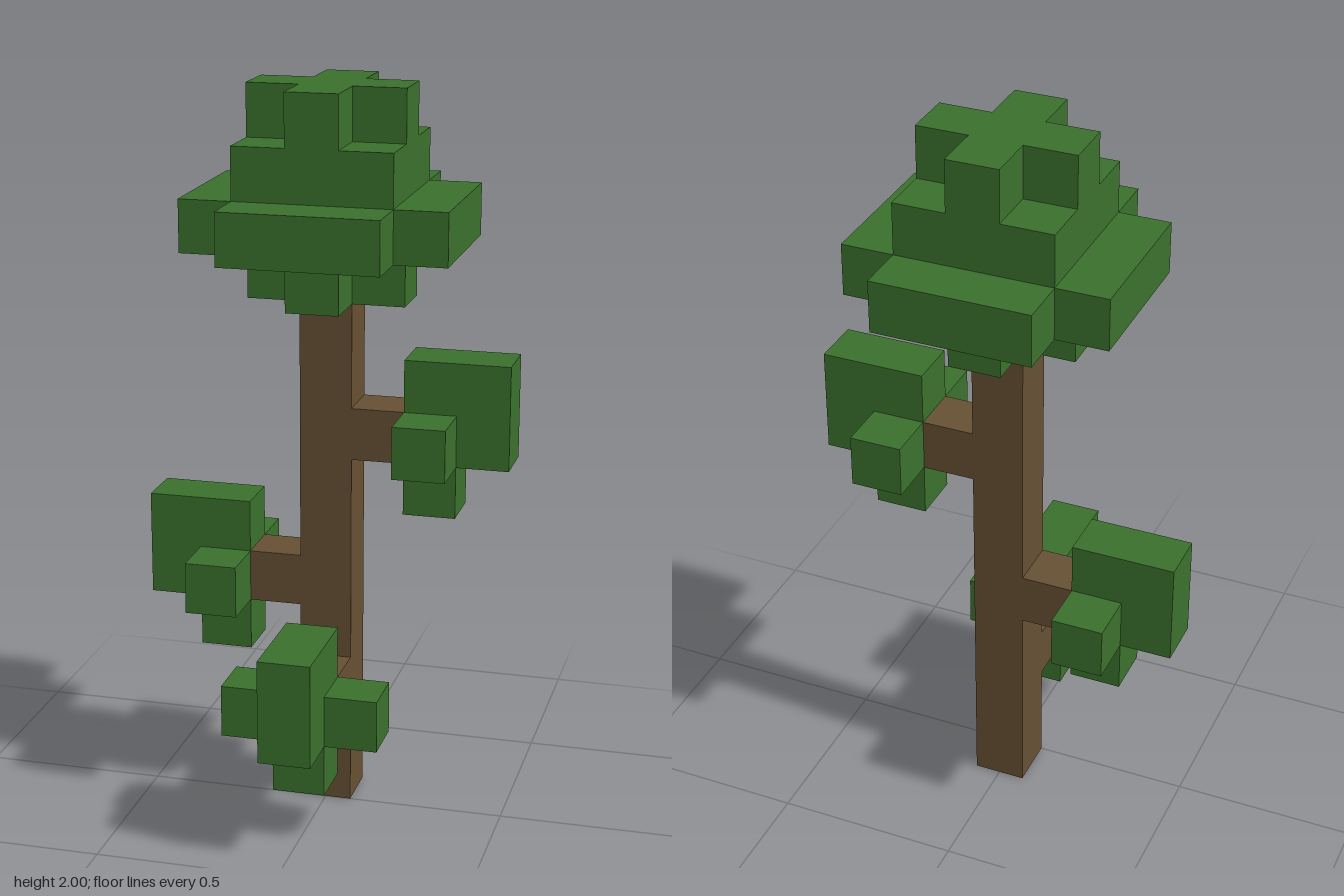
import * as THREE from 'three';

const U = 1 / 7; // one block

export function createModel() {
  const leaf = new THREE.MeshStandardMaterial({ color: 0x3a702c });
  leaf.name = 'leaf green';
  const bark = new THREE.MeshStandardMaterial({ color: 0x665033 });
  bark.name = 'bark brown';

  const tree = new THREE.Group();
  tree.name = 'blockTree';
  tree.position.z = -U / 2; // the trunk stands half a block behind the centre

  // Box with sizes and centre given in blocks
  function block(parent, name, material, [w, h, d], [x, y, z]) {
    const mesh = new THREE.Mesh(new THREE.BoxGeometry(w * U, h * U, d * U), material);
    mesh.position.set(x * U, y * U, z * U);
    mesh.name = name;
    parent.add(mesh);
  }

  // One-block-high square layer with its four corners notched out
  function notchedLayer(parent, name, half, inner, bottom) {
    const a = half * U, b = inner * U;
    const outline = [
      [a, -b], [a, b], [b, b], [b, a], [-b, a], [-b, b],
      [-a, b], [-a, -b], [-b, -b], [-b, -a], [b, -a], [b, -b],
    ].map(([x, y]) => new THREE.Vector2(x, y));
    const geometry = new THREE.ExtrudeGeometry(new THREE.Shape(outline), { depth: U, bevelEnabled: false });
    geometry.rotateX(-Math.PI / 2);
    const mesh = new THREE.Mesh(geometry, leaf);
    mesh.position.y = bottom * U;
    mesh.name = name;
    parent.add(mesh);
  }

  // Trunk
  block(tree, 'trunk', bark, [1, 10, 1], [0, 5, 0]);

  // Crown, layer by layer
  const crown = new THREE.Group();
  crown.name = 'crown';
  notchedLayer(crown, 'crownUnderside', 1.5, 0.5, 10);
  notchedLayer(crown, 'crownBrim', 2.5, 1.5, 11);
  block(crown, 'crownMiddle', leaf, [3, 1, 3], [0, 12.5, 0]);
  notchedLayer(crown, 'crownTop', 1.5, 0.5, 13);
  tree.add(crown);

  // Branch pointing along +x with its leaf cluster, then turned about the trunk
  function branch(name, row, turn) {
    const group = new THREE.Group();
    group.name = name;
    block(group, 'branchStub', bark, [1, 1, 1], [1, 0.5, 0]);
    block(group, 'leafClump', leaf, [2, 2, 1], [2.5, 1, 0]);
    block(group, 'lowerLeaf', leaf, [1, 1, 1], [2, -0.5, 0]);
    for (const side of [-1, 1]) block(group, 'sideLeaf', leaf, [1, 1, 1], [2, 0.5, side]);
    group.position.y = row * U;
    group.rotation.y = turn;
    tree.add(group);
  }
  branch('leftBranch', 7, 0);
  branch('rightBranch', 4, Math.PI);
  branch('frontBranch', 2, -Math.PI / 2);

  const model = new THREE.Group();
  model.name = 'tree';
  model.add(tree);
  return model;
}
